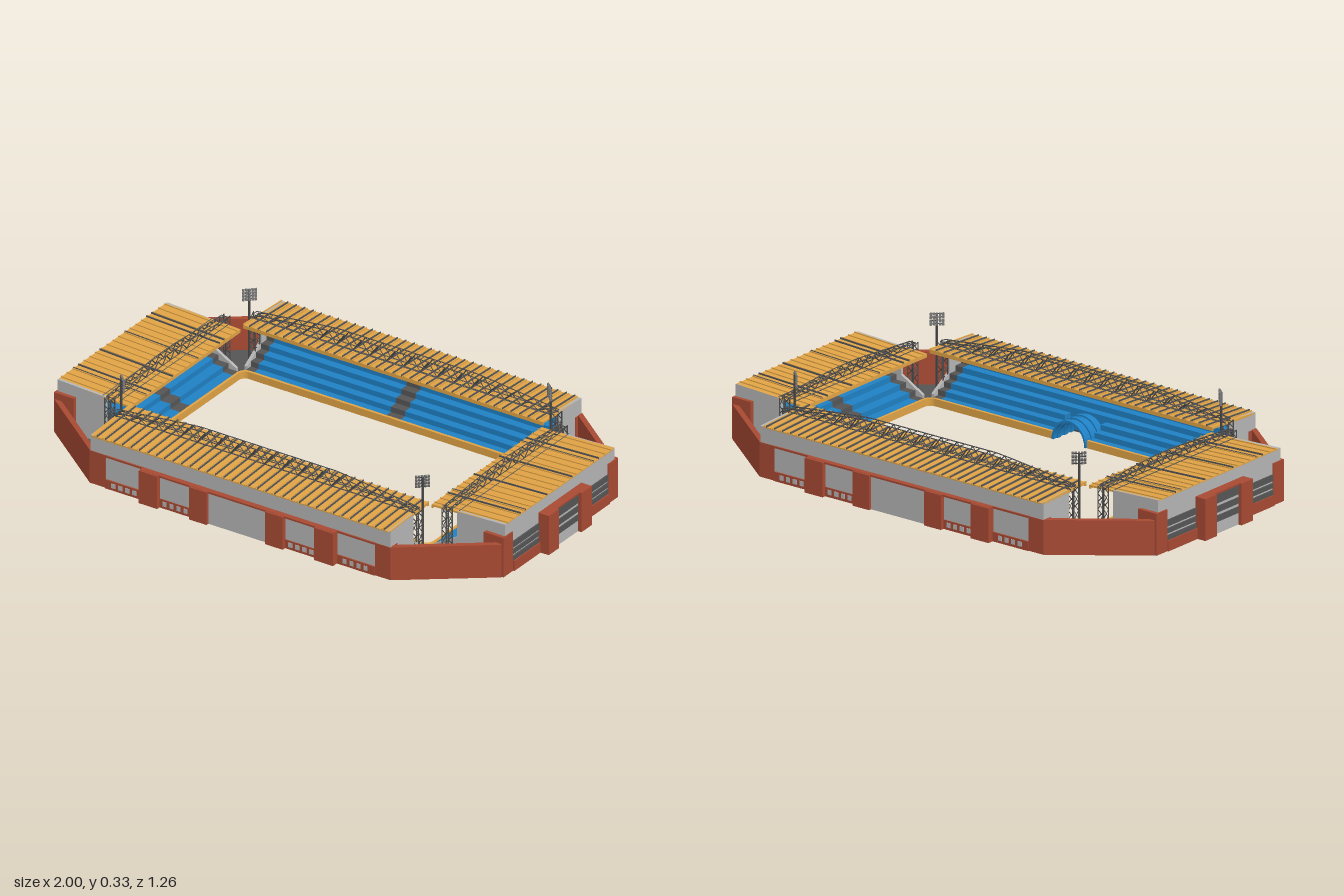
import * as THREE from 'three';
import { mergeGeometries } from 'three/addons/utils/BufferGeometryUtils.js';

const GOLD = 0xe0a345, BRICK = 0xa84a33, WALL = 0xb4b4b4, DARK = 0x555555, BLUE = 0x1f80c4, STEEL = 0x4a4a4a;
const mats = {};
const mat = c => mats[c] ??= new THREE.MeshStandardMaterial({ color: c, flatShading: true, side: THREE.DoubleSide });
const V = (x, y, z) => new THREE.Vector3(x, y, z);

function add(parent, name, geo, color) {
  const m = new THREE.Mesh(Array.isArray(geo) ? mergeGeometries(geo) : geo, mat(color));
  m.name = name;
  parent.add(m);
  return m;
}
// Box given by its limits
const box = (x0, x1, y0, y1, z0, z1) =>
  new THREE.BoxGeometry(x1 - x0, y1 - y0, z1 - z0).translate((x0 + x1) / 2, (y0 + y1) / 2, (z0 + z1) / 2);
// The same box on both sides of x = 0
const pair = (x0, x1, ...r) => [box(x0, x1, ...r), box(-x1, -x0, ...r)];
// Square bar between two points
function bar(a, b, r = 0.0022) {
  const d = b.clone().sub(a), g = new THREE.CylinderGeometry(r, r, d.length(), 4);
  g.applyQuaternion(new THREE.Quaternion().setFromUnitVectors(V(0, 1, 0), d.normalize()));
  return g.translate((a.x + b.x) / 2, (a.y + b.y) / 2, (a.z + b.z) / 2);
}
// Section in (z, y), swept from x0 to x1
function sweep(pts, x0, x1) {
  const s = new THREE.Shape(pts.map(p => new THREE.Vector2(...p)));
  return new THREE.ExtrudeGeometry(s, { depth: x1 - x0, bevelEnabled: false }).rotateY(-Math.PI / 2).translate(x1, 0, 0);
}
// Flat outline raised to a height
const slab = (shape, h) => new THREE.ExtrudeGeometry(shape, { depth: h, bevelEnabled: false }).rotateX(-Math.PI / 2);
// Rounded outline of the pitch, open at the tunnel
function pitchOutline(w, h, r) {
  const s = new THREE.Shape().moveTo(0.08, -h).lineTo(w - r, -h);
  s.absarc(w - r, r - h, r, -Math.PI / 2, 0).absarc(w - r, h - r, r, 0, Math.PI / 2);
  s.absarc(r - w, h - r, r, Math.PI / 2, Math.PI).absarc(r - w, r - h, r, Math.PI, Math.PI * 1.5);
  s.lineTo(-0.08, -h);
  return s.getPoints(5);
}

// Terraced seating between two depths, starting at a given step
function terrace(o, x0, x1, first = 0) {
  const n = 7, back = o.outer - 0.015, d = (back - o.inner) / n;
  const pts = [[o.inner + first * d, 0.006]];
  for (let i = first; i < n; i++) {
    const y = 0.025 + 0.125 * i / (n - 1);
    pts.push([o.inner + i * d, y], [o.inner + (i + 1) * d, y]);
  }
  pts.push([back, 0.006]);
  return sweep(pts, x0, x1);
}

// Lattice roof truss with a support tower at each end
function addTruss(g, o) {
  const bars = [], n = o.panels, L = o.trussHalf;
  for (const z of [o.trussZ - 0.014, o.trussZ + 0.014]) {
    for (let i = 0; i < n; i++) {
      const a = -L + 2 * L * i / n, b = a + 2 * L / n, m = (a + b) / 2;
      bars.push(bar(V(a, 0.203, z), V(b, 0.203, z)), bar(V(a, o.top(a), z), V(b, o.top(b), z)));
      bars.push(bar(V(a, 0.203, z), V(m, o.top(m), z)), bar(V(m, o.top(m), z), V(b, 0.203, z)));
    }
  }
  for (let i = 0; i <= n; i++) {
    const x = -L + 2 * L * i / n, y = o.top(x);
    bars.push(bar(V(x, y, o.trussZ - 0.014), V(x, y, o.trussZ + 0.014)));
  }
  add(g, 'roofTruss', bars, STEEL);
  const tower = [], h = 0.21, k = 7, c = [[-1, -1], [1, -1], [1, 1], [-1, 1]];
  for (const s of [-1, 1]) for (let j = 0; j < 4; j++) {
    const p = (q, y) => V(s * L + c[q % 4][0] * 0.013, y, o.trussZ + c[q % 4][1] * 0.013);
    tower.push(bar(p(j, 0), p(j, h), 0.003));
    for (let i = 0; i < k; i++)
      tower.push(bar(p(j + i % 2, h * i / k), p(j + 1 - i % 2, h * (i + 1) / k), 0.0018));
  }
  add(g, 'trussTowers', tower, STEEL);
}

// One stand, facing inwards, with its outer wall towards local +z
function makeStand(name, o) {
  const g = new THREE.Group(), H = o.half, { inner, outer, yIn, yOut } = o;
  g.name = name;
  const yAt = z => yIn + (yOut - yIn) * (z - inner) / (outer - inner);
  add(g, 'backWall', box(-H, H, 0, yOut - 0.004, outer - 0.015, outer), WALL);
  const mid = o.sideFrom;
  const side = [[inner + 0.01, 0], [outer, 0], [outer, yOut], [mid, yAt(mid)], [mid, 0.09], [inner + 0.01, 0.035]];
  add(g, 'sideWalls', [sweep(side, H - 0.012, H), sweep(side, -H, 0.012 - H)], WALL);

  // Seats with a centre stair, or a recess for the tunnel
  const w = o.tunnel ? 0.08 : 0.03;
  add(g, 'seats', [terrace(o, -H + 0.045, -w), terrace(o, w, H - 0.045)], BLUE);
  const stairs = [terrace(o, -H + 0.012, -H + 0.045), terrace(o, H - 0.045, H - 0.012)];
  if (o.tunnel) add(g, 'seatsOverTunnel', terrace(o, -w, w, 3), BLUE);
  else stairs.push(terrace(o, -w, w));
  add(g, 'stairs', stairs, DARK);

  // Roof sheet, raised ribs and purlins
  const t = 0.007;
  add(g, 'roof', sweep([[inner, yIn - t], [outer, yOut - t], [outer, yOut], [inner, yIn]], -H, H), GOLD);
  add(g, 'roofFascia', box(-H, H, yIn - 0.014, yIn, inner, inner + 0.005), GOLD);
  const rib = (x, hw, h) => sweep([[inner, yIn], [outer, yOut], [outer, yOut + h], [inner, yIn + h]], x - hw, x + hw);
  add(g, 'roofRibs', o.ribs.map(x => rib(x, 0.0015, 0.006)), DARK);
  const seams = [];
  for (let x = -H + 0.018; x < H; x += 0.036) seams.push(rib(x, 0.002, 0.004));
  add(g, 'roofSeams', seams, GOLD);
  add(g, 'roofPurlins', o.purlins.map(z => bar(V(-H, yAt(z) + 0.005, z), V(H, yAt(z) + 0.005, z), 0.002)), DARK);
  addTruss(g, o);
  o.facade(g);
  return g;
}

// Brick and panel front of a long stand
function longFacade(g) {
  add(g, 'brickPillars', [...pair(0.125, 0.2, 0, 0.13, 0.59, 0.63), ...pair(0.335, 0.415, 0, 0.13, 0.59, 0.63),
    ...pair(0.575, 0.642, 0, 0.13, 0.56, 0.602)], BRICK);
  add(g, 'brickBase', [...pair(0.2, 0.335, 0, 0.035, 0.59, 0.615), ...pair(0.415, 0.575, 0, 0.035, 0.59, 0.606)], BRICK);
  add(g, 'brickLedge', [box(-0.415, 0.415, 0.124, 0.131, 0.59, 0.622), ...pair(0.415, 0.575, 0.124, 0.131, 0.59, 0.606)], BRICK);
  add(g, 'bayPanels', [...pair(0.2, 0.335, 0.035, 0.124, 0.59, 0.612), box(-0.125, 0.125, 0, 0.124, 0.59, 0.618)], WALL);
  const win = [];
  for (let i = 0; i < 4; i++) {
    const a = 0.215 + i * 0.03, b = 0.44 + i * 0.03;
    win.push(...pair(a, a + 0.017, 0.01, 0.028, 0.6, 0.617), ...pair(b, b + 0.017, 0.01, 0.028, 0.6, 0.608));
  }
  add(g, 'smallWindows', win, WALL);
}

// Brick and banded-window front of an end stand
function endFacade(g) {
  add(g, 'brickPillars', [...pair(0.07, 0.135, 0, 0.157, 0.945, 1), ...pair(0.3, 0.36, 0, 0.157, 0.875, 0.96)], BRICK);
  add(g, 'brickBase', pair(0.135, 0.3, 0, 0.04, 0.945, 0.965), BRICK);
  add(g, 'centrePanel', box(-0.07, 0.07, 0, 0.15, 0.945, 0.985), WALL);
  add(g, 'centreCap', box(-0.07, 0.07, 0.15, 0.157, 0.945, 0.99), BRICK);
  const bands = [];
  for (const y of [0.04, 0.066, 0.092]) bands.push(...pair(0.135, 0.3, y, y + 0.018 + (y > 0.09 ? 0.006 : 0), 0.95, 0.96));
  for (const y of [0.045, 0.08, 0.115]) bands.push(box(-0.07, 0.07, y, y + 0.024 + (y > 0.1 ? 0.01 : 0), 0.95, 0.988));
  add(g, 'windowBands', bands, DARK);
}

export function createModel() {
  const model = new THREE.Group();
  model.name = 'stadium';

  // Ground ring around the open pitch
  const ground = new THREE.Shape();
  [[0.64, -0.6], [0.955, -0.36], [0.955, 0.36], [0.64, 0.6], [-0.64, 0.6], [-0.955, 0.36], [-0.955, -0.36], [-0.64, -0.6]]
    .forEach(([x, y], i) => i ? ground.lineTo(x, y) : ground.moveTo(x, y));
  const v2 = (x, y) => new THREE.Vector2(x, y);
  ground.holes.push(new THREE.Path([...pitchOutline(0.636, 0.35, 0.03), v2(-0.08, -0.455), v2(0.08, -0.455)]));
  ground.holes.push(new THREE.Path([v2(-0.09, 0.4), v2(0.09, 0.4), v2(0.09, 0.48), v2(-0.09, 0.48)]));
  add(model, 'groundRing', slab(ground, 0.006), DARK);
  const rim = new THREE.Shape([...pitchOutline(0.642, 0.357, 0.035), ...pitchOutline(0.632, 0.346, 0.026).reverse()]);
  add(model, 'pitchBarrier', slab(rim, 0.028), GOLD);

  // Four stands
  const ribs = [];
  for (let i = -17; i <= 17; i++) ribs.push(i * 0.036);
  const long = { half: 0.64, inner: 0.357, outer: 0.6, yIn: 0.203, yOut: 0.191, sideFrom: 0.455, ribs, purlins: [0.415, 0.45],
    trussHalf: 0.645, trussZ: 0.437, panels: 18, facade: longFacade,
    top: x => 0.213 + 0.038 * Math.min(1, (0.645 - Math.abs(x)) / 0.345) };
  const end = { half: 0.345, inner: 0.643, outer: 0.955, yIn: 0.19, yOut: 0.203, sideFrom: 0.75,
    ribs: [-0.245, -0.215, -0.08, 0.08, 0.215, 0.245], purlins: [0.69, 0.76], trussHalf: 0.362, trussZ: 0.72, panels: 14,
    facade: endFacade, top: x => 0.211 + 0.02 * Math.min(1, (0.362 - Math.abs(x)) / 0.3) };
  model.add(makeStand('frontStand', { ...long, tunnel: true }));
  [['leftStand', end, 1], ['backStand', long, 2], ['rightStand', end, 3]].forEach(([n, o, q]) => {
    const s = makeStand(n, o);
    s.rotation.y = q * Math.PI / 2;
    model.add(s);
  });

  // Ribbed players' tunnel
  const tunnel = [];
  for (let i = 0; i < 6; i++) {
    const r = i % 2 ? 0.93 : 1;
    const arch = new THREE.Shape().absellipse(0, 0, 0.078 * r, 0.085 * r, 0, Math.PI);
    arch.lineTo(-0.07 * r, 0).absellipse(0, 0, 0.07 * r, 0.077 * r, Math.PI, 0, true);
    tunnel.push(new THREE.ExtrudeGeometry(arch, { depth: 0.019, bevelEnabled: false, curveSegments: 8 }).translate(0, 0, 0.343 + i * 0.019));
  }
  add(model, 'playersTunnel', tunnel, BLUE);

  // Corner walls and floodlights
  for (const sx of [-1, 1]) for (const sz of [-1, 1]) {
    const wall = add(model, 'cornerWall', box(-0.195, 0.195, 0, 0.131, -0.01, 0.01), BRICK);
    wall.position.set(sx * 0.793, 0, sz * 0.474);
    wall.rotation.y = sx * sz * Math.atan2(0.24, 0.315);

    const light = new THREE.Group(), lamps = [], frame = [bar(V(0, 0, 0), V(0, 0.325, 0), 0.004)];
    light.name = 'floodlight';
    for (let r = 0; r < 4; r++) {
      const y = 0.287 + r * 0.0125;
      frame.push(bar(V(-0.025, y, 0), V(0.025, y, 0), 0.0018));
      for (let c = -2; c <= 2; c++) lamps.push(box(c * 0.011 - 0.004, c * 0.011 + 0.004, y - 0.0045, y + 0.0045, 0.001, 0.008));
    }
    add(light, 'mast', frame, STEEL);
    add(light, 'lamps', lamps, 0x777777);
    light.position.set(sx * 0.643, 0, sz * 0.402);
    light.rotation.y = Math.atan2(-sx, -sz);
    model.add(light);
  }
  return model;
}
